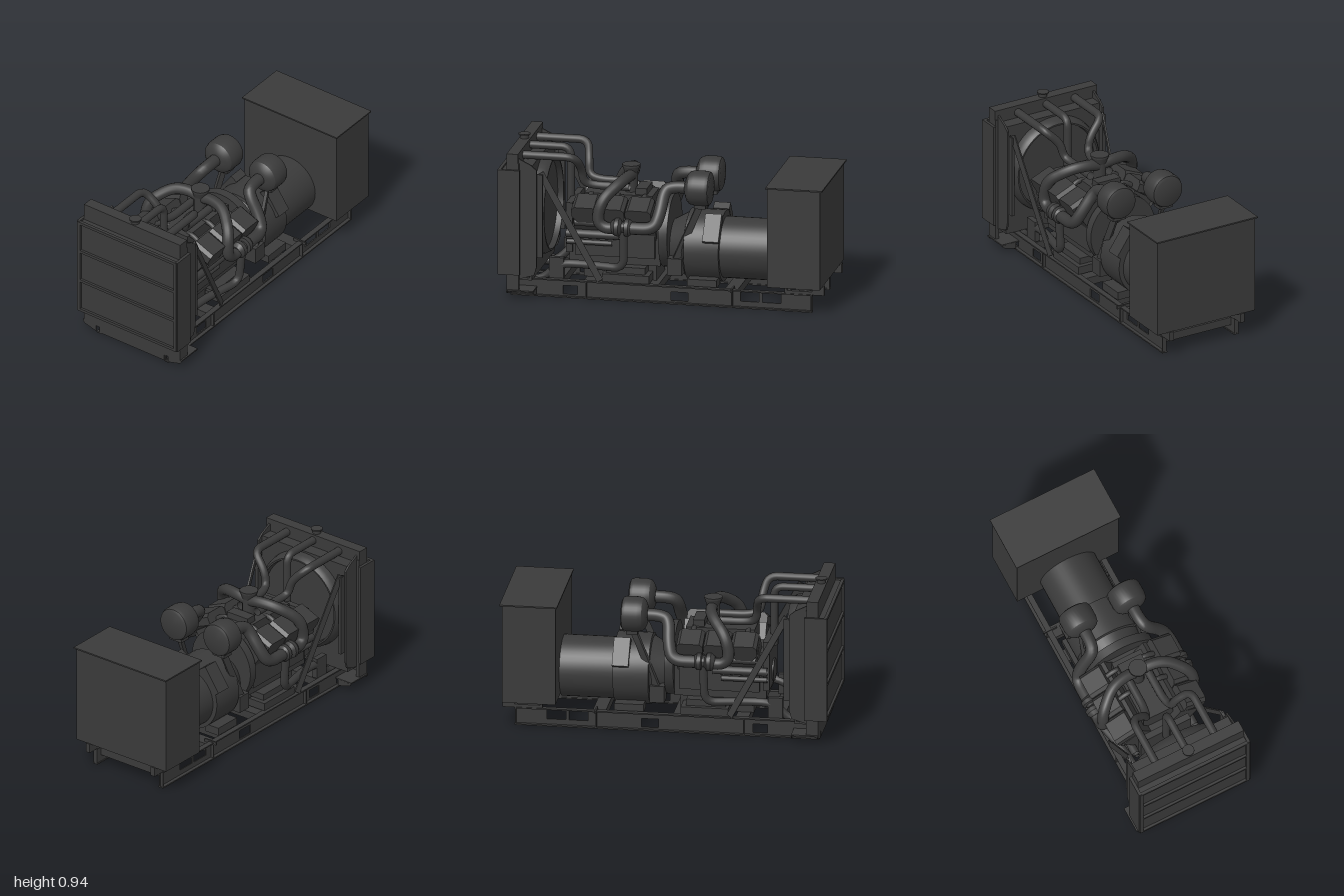
import * as THREE from 'three';
import { toCreasedNormals } from 'three/addons/utils/BufferGeometryUtils.js';

const dark = new THREE.MeshStandardMaterial({ color: 0x3a3a3a, side: THREE.DoubleSide });
const V = (p) => new THREE.Vector3(...p);

export function createModel() {
  const root = new THREE.Group();
  const add = (name, geo, pos = [0, 0, 0], rot = [0, 0, 0]) => {
    const m = new THREE.Mesh(geo, dark);
    m.name = name;
    m.position.set(...pos);
    m.rotation.set(...rot);
    root.add(m);
    return m;
  };
  // box given by its min and max on each axis
  const box = (name, x0, x1, y0, y1, z0, z1) =>
    add(name, new THREE.BoxGeometry(x1 - x0, y1 - y0, Math.abs(z1 - z0)), [(x0 + x1) / 2, (y0 + y1) / 2, (z0 + z1) / 2]);
  // solid of revolution about the x axis; profile is [x, radius]
  const turned = (name, profile, y, z, seg = 36) => {
    const pts = profile.map(([x, r]) => new THREE.Vector2(r, x));
    const g = toCreasedNormals(new THREE.LatheGeometry(pts, seg).rotateZ(-Math.PI / 2), 0.5);
    return add(name, g, [0, y, z]);
  };
  // pipe along straight runs with rounded corners
  const pipe = (name, pts, r, bend = 0.05, n = 40) => {
    const p = pts.map(V), path = new THREE.CurvePath();
    let from = p[0];
    for (let i = 1; i < p.length - 1; i++) {
      const step = (q) => p[i].clone().add(q.clone().sub(p[i]).setLength(Math.min(bend, q.distanceTo(p[i]) * 0.48)));
      const a = step(p[i - 1]), b = step(p[i + 1]);
      path.add(new THREE.LineCurve3(from, a));
      path.add(new THREE.QuadraticBezierCurve3(a, p[i], b));
      from = b;
    }
    path.add(new THREE.LineCurve3(from, p[p.length - 1]));
    return add(name, new THREE.TubeGeometry(path, n, r, 14, false));
  };
  // flat bar between two points
  const bar = (name, a, b, w, t) => {
    const d = V(b).sub(V(a));
    const m = add(name, new THREE.BoxGeometry(w, d.length(), t), V(a).add(V(b)).multiplyScalar(0.5).toArray());
    m.quaternion.setFromUnitVectors(new THREE.Vector3(0, 1, 0), d.normalize());
    return m;
  };
  const rect = (C, x0, x1, y0, y1) => {
    const s = new C();
    s.moveTo(x0, y0); s.lineTo(x1, y0); s.lineTo(x1, y1); s.lineTo(x0, y1); s.closePath();
    return s;
  };
  const poly = (pts) => new THREE.Shape(pts.map((p) => new THREE.Vector2(...p)));
  const plate = (shape, depth) => new THREE.ExtrudeGeometry(shape, { depth, bevelEnabled: false, curveSegments: 24 });

  // skid: crossmembers
  for (const x of [-0.71, -0.5, -0.3, -0.12, 0.2, 0.37, 0.8]) box('skidCrossmember', x, x + 0.08, 0.05, 0.1, -0.24, 0.24);
  box('skidEndBeam', -0.945, -0.935, 0.01, 0.1, -0.24, 0.24);

  for (const s of [1, -1]) {
    // skid: pierced web with flanges
    const web = rect(THREE.Shape, -0.94, 0.92, 0.005, 0.11);
    for (const [a, b, c, d] of [[-0.93, -0.79, 0.012, 0.05], [-0.62, -0.53, 0.018, 0.072], [0.045, 0.15, 0.018, 0.072],
      [0.475, 0.59, 0.04, 0.102], [0.61, 0.725, 0.04, 0.102]]) web.holes.push(rect(THREE.Path, a, b, c, d));
    add('skidRailWeb', plate(web, 0.008), [0, 0, s * 0.244 - 0.004]);
    box('skidRailTopFlange', -0.94, 0.92, 0.104, 0.112, s * 0.235, s * 0.27);
    box('skidRailBottomFlange', -0.94, 0.92, 0, 0.008, s * 0.235, s * 0.27);
    for (const x of [-0.48, 0.42, 0.91]) box('skidRailRib', x, x + 0.008, 0.005, 0.11, s * 0.24, s * 0.268);
    for (const x of [-0.945, -0.785]) {
      add('outriggerPlate', plate(poly([[-0.27, 0.01], [-0.36, 0.035], [-0.37, 0.05], [-0.27, 0.055]]), 0.006),
        [s > 0 ? x : x + 0.006, 0, 0], [0, s * Math.PI / 2, 0]);
    }
    box('outriggerTop', -0.945, -0.78, 0.05, 0.058, s * 0.24, s * 0.37);
    box('mountLug', 0.42, 0.43, 0.1, 0.12, s * 0.2, s * 0.29);

    // radiator side frame
    box('radiatorColumn', -0.945, -0.87, 0.055, 0.85, s * 0.335, s * 0.36);
    box('radiatorSidePanel', -0.995, -0.862, 0.155, 0.812, s * 0.36, s * 0.378);
    add('shroudSide', plate(poly([[-0.88, 0.12], [-0.78, 0.15], [-0.765, 0.2], [-0.765, 0.81], [-0.8, 0.84], [-0.88, 0.88]]), 0.012),
      [0, 0, s * 0.335 - 0.006]);
    box('fanGuardPost', -0.77, -0.73, 0.26, 0.78, s * 0.31, s * 0.33);
    bar('radiatorBrace', [-0.745, 0.79, s * 0.315], [-0.39, 0.12, s * 0.262], 0.04, 0.01);

    // hoses from radiator to engine
    pipe('upperHose', [[-0.9, 0.865, s * 0.2], [-0.56, 0.865, s * 0.2], [-0.535, 0.77, s * 0.105], [-0.53, 0.68, s * 0.085], [-0.46, 0.66, s * 0.065], [-0.25, 0.66, s * 0.065]], 0.025, 0.06);
    pipe('lowerHose', [[-0.86, 0.09, s * 0.2], [-0.76, 0.09, s * 0.2], [-0.65, 0.2, s * 0.21], [-0.5, 0.205, s * 0.22], [-0.24, 0.21, s * 0.28], [-0.235, 0.46, s * 0.3]], 0.025, 0.07);

    // cylinder bank with one wedge-sided head per cylinder
    add('cylinderBank', new THREE.BoxGeometry(0.5, 0.19, 0.15), [-0.31, 0.47, s * 0.14], [s * 0.6, 0, 0]);
    for (let i = 0; i < 3; i++) {
      const x = -0.48 + i * 0.165;
      const head = plate(poly([[-0.08, 0.045], [-0.08, -0.005], [-0.025, -0.075], [0.025, -0.075], [0.08, -0.005], [0.08, 0.045], [0.06, 0.065], [-0.06, 0.065]]), 0.14);
      add('cylinderHead', head.translate(0, 0, -0.07), [x, 0.55, s * 0.22], [s * 0.4, 0, 0]);
      pipe('intakeRunner', [[x, 0.6, s * 0.05], [x, 0.62, s * 0.11], [x, 0.57, s * 0.18]], 0.016, 0.04, 10);
    }
    pipe('exhaustManifold', [[-0.55, 0.475, s * 0.245], [-0.07, 0.475, s * 0.245]], 0.022);
    pipe('oilGallery', [[-0.61, 0.39, s * 0.2], [-0.28, 0.39, s * 0.2]], 0.026);
    pipe('oilLine', [[-0.61, 0.335, s * 0.19], [-0.33, 0.335, s * 0.19]], 0.016);
    box('blockSideCover', -0.56, -0.07, 0.25, 0.43, s * 0.15, s * 0.18);
    box('engineMount', -0.38, -0.09, 0.11, 0.16, s * 0.13, s * 0.25);
    box('engineMountBracket', -0.36, -0.12, 0.16, 0.2, s * 0.12, s * 0.22);
    box('frontBracket', -0.71, -0.62, 0.11, 0.24, s * 0.2, s * 0.235);

    // turbocharger, charge duct and air intake
    turned('turbocharger', [[-0.31, 0], [-0.31, 0.035], [-0.285, 0.055], [-0.26, 0.055], [-0.245, 0.032], [-0.23, 0.032],
      [-0.225, 0.052], [-0.2, 0.052], [-0.18, 0.036], [-0.18, 0]], 0.475, s * 0.305, 24);
    pipe('chargeDuct', [[-0.25, 0.72, 0], [-0.25, 0.735, s * 0.09], [-0.275, 0.725, s * 0.19], [-0.37, 0.64, s * 0.3],
      [-0.4, 0.51, s * 0.31], [-0.35, 0.465, s * 0.31], [-0.28, 0.47, s * 0.31]], 0.035, 0.07);
    pipe('intakeDuct', [[-0.2, 0.475, s * 0.31], [-0.05, 0.475, s * 0.31], [-0.02, 0.56, s * 0.27], [-0.01, 0.69, s * 0.18], [0.05, 0.71, s * 0.165], [0.15, 0.71, s * 0.165]], 0.038, 0.08);
    turned('airFilter', [[0.12, 0], [0.12, 0.05], [0.135, 0.085], [0.15, 0.1], [0.18, 0.107], [0.25, 0.107],
      [0.27, 0.1], [0.278, 0.085], [0.278, 0]], 0.71, s * 0.165);
    bar('airFilterStrut', [0.215, 0.62, s * 0.165], [0.06, 0.25, s * 0.19], 0.04, 0.02);
    box('airFilterFoot', 0.18, 0.25, 0.59, 0.615, s * 0.12, s * 0.21);

    // alternator side covers and feet
    add('terminalCover', new THREE.BoxGeometry(0.1, 0.18, 0.05), [0.283, 0.455, s * 0.16], [-s * 0.6, 0, 0]);
    box('alternatorFoot', 0.14, 0.32, 0.1, 0.15, s * 0.12, s * 0.22);
    box('flywheelFoot', 0.015, 0.105, 0.165, 0.27, s * 0.12, s * 0.215);

    // cabinet foot with a lifting slot
    const foot = rect(THREE.Shape, 0.75, 0.995, 0.11, 0.168);
    foot.holes.push(rect(THREE.Path, 0.765, 0.92, 0.13, 0.16));
    add('cabinetFoot', plate(foot, 0.03), [0, 0, s * 0.25 - 0.015]);
  }

  // radiator
  box('radiatorCore', -0.985, -0.87, 0.165, 0.8, -0.36, 0.36);
  box('radiatorTopTank', -0.945, -0.875, 0.8, 0.91, -0.36, 0.36);
  box('radiatorBottomTank', -0.935, -0.87, 0.1, 0.165, -0.26, 0.26);
  box('radiatorBasePlate', -0.945, -0.935, 0.055, 0.165, -0.335, 0.335);
  for (const y of [0.155, 0.37, 0.585, 0.792]) box('grilleBar', -1, -0.98, y, y + 0.018, -0.37, 0.37);
  for (const z of [-0.37, 0.35]) box('grilleEdge', -1, -0.98, 0.155, 0.81, z, z + 0.02);
  add('fillerNeck', new THREE.CylinderGeometry(0.026, 0.026, 0.03, 24), [-0.912, 0.92, 0]);
  add('fillerCap', new THREE.CylinderGeometry(0.036, 0.036, 0.008, 24), [-0.912, 0.936, 0]);

  // fan shroud: flat face, raised ring and recessed fan disc
  box('shroudFace', -0.81, -0.795, 0.13, 0.82, -0.33, 0.33);
  box('shroudTop', -0.88, -0.795, 0.815, 0.83, -0.33, 0.33);
  box('shroudBottom', -0.88, -0.795, 0.115, 0.13, -0.33, 0.33);
  turned('shroudRing', [[-0.8, 0.31], [-0.765, 0.305], [-0.745, 0.295], [-0.73, 0.285], [-0.73, 0.275], [-0.765, 0.27], [-0.765, 0]], 0.51, 0, 48);

  // engine block
  box('engineBlock', -0.6, -0.04, 0.2, 0.5, -0.155, 0.155);
  box('oilPan', -0.52, -0.07, 0.1, 0.2, -0.12, 0.12);
  box('timingCover', -0.62, -0.58, 0.26, 0.57, -0.17, 0.17);
  box('intakePlenum', -0.52, -0.1, 0.5, 0.62, -0.1, 0.1);
  box('aftercooler', -0.21, -0.14, 0.6, 0.66, -0.08, 0.08);
  turned('crankPulley', [[-0.63, 0], [-0.63, 0.07], [-0.6, 0.07], [-0.6, 0]], 0.34, 0, 24);
  pipe('ventHose', [[-0.9, 0.872, 0], [-0.625, 0.872, 0], [-0.625, 0.5, 0]], 0.024, 0.06);
  add('chargeInlet', new THREE.CylinderGeometry(0.055, 0.035, 0.06, 20), [-0.253, 0.75, 0]);
  add('chargeInletRim', new THREE.CylinderGeometry(0.056, 0.056, 0.012, 20), [-0.253, 0.782, 0]);
  add('chargeInletNeck', new THREE.CylinderGeometry(0.04, 0.04, 0.14, 20), [-0.253, 0.67, 0]);

  // flywheel housing and alternator
  turned('flywheelHousing', [[-0.04, 0], [-0.04, 0.225], [0.015, 0.225], [0.015, 0]], 0.39, 0, 40);
  turned('alternatorAdapter', [[0, 0], [0, 0.14], [0.03, 0.155], [0.11, 0.2], [0.115, 0.217], [0.33, 0.217], [0.33, 0]], 0.31, 0, 40);
  turned('alternatorBody', [[0.32, 0], [0.32, 0.187], [0.66, 0.187], [0.68, 0.16], [0.68, 0]], 0.303, 0, 40);

  // control cabinet
  box('cabinet', 0.66, 0.985, 0.165, 0.785, -0.345, 0.345);
  box('cabinetRoof', 0.65, 1, 0.783, 0.792, -0.355, 0.355);

  return root;
}
